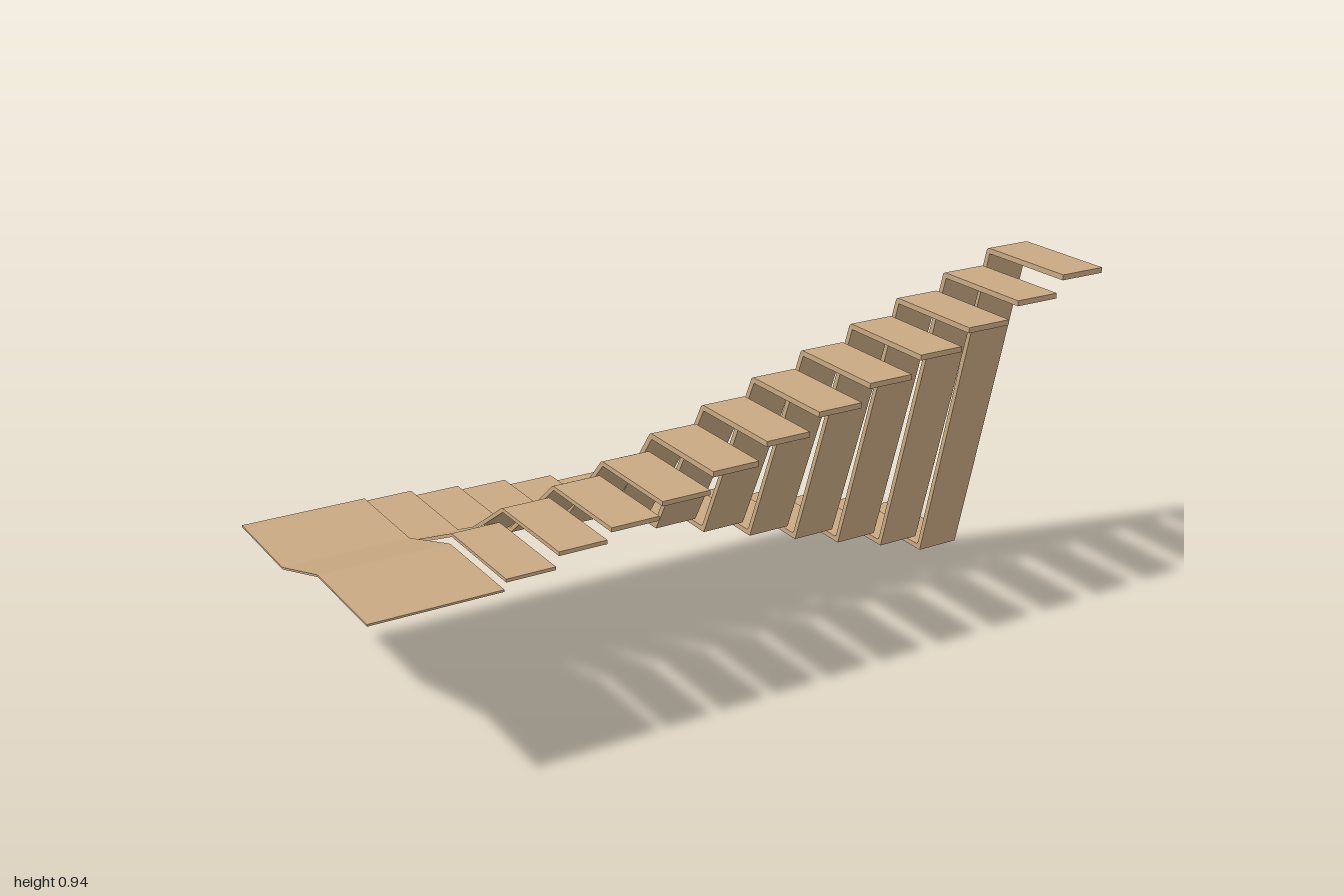
import * as THREE from 'three';

// Each slat: left edge x0, right edge x1, top of front shelf, bottom of back shelf, thickness
const SLATS = [
  [-1.0, -0.68, 0.474, 0.39, 0.005],
  [-0.675, -0.553, 0.498, 0.38, 0.008],
  [-0.545, -0.423, 0.532, 0.363, 0.01],
  [-0.412, -0.288, 0.559, 0.35, 0.011],
  [-0.28, -0.153, 0.593, 0.333, 0.012],
  [-0.146, -0.021, 0.637, 0.312, 0.014],
  [0.0, 0.12, 0.681, 0.267, 0.014],
  [0.145, 0.268, 0.725, 0.223, 0.014],
  [0.29, 0.413, 0.769, 0.179, 0.014],
  [0.438, 0.562, 0.813, 0.135, 0.014],
  [0.582, 0.706, 0.857, 0.091, 0.014],
  [0.731, 0.855, 0.901, 0.047, 0.014],
  [0.872, 1.0, 0.945, 0.0, 0.014],
];
const END = 0.4;

// Z-shaped strip section drawn in (z, y) and extruded across the width
function slatGeometry([x0, x1, top, bottom, t], bend) {
  const low = bottom + t;
  const slope = Math.atan2(top - low, 2 * bend);
  const miter = t * Math.tan(slope / 2);
  const r = 0.008;
  const dz = r * Math.cos(slope), dy = r * Math.sin(slope);
  const s = new THREE.Shape();
  s.moveTo(END, top - t);
  s.lineTo(END, top);
  s.lineTo(bend + r, top);
  s.quadraticCurveTo(bend, top, bend - dz, top - dy);
  s.lineTo(-bend + dz, low + dy);
  s.quadraticCurveTo(-bend, low, -bend - r, low);
  s.lineTo(-END, low);
  s.lineTo(-END, bottom);
  s.lineTo(-bend + miter, bottom);
  s.lineTo(bend + miter, top - t);
  s.closePath();
  const g = new THREE.ExtrudeGeometry(s, { depth: x1 - x0, bevelEnabled: false, curveSegments: 3 });
  g.rotateY(-Math.PI / 2);
  g.translate(x1, 0, 0);
  return g;
}

export function createModel() {
  const group = new THREE.Group();
  group.name = 'slattedBench';
  const wood = new THREE.MeshStandardMaterial({ color: 0xc8a882 });
  wood.name = 'tan wood';

  // One wide slat at the shallow end, then slats that grow steeper
  SLATS.forEach((slat, i) => {
    const mesh = new THREE.Mesh(slatGeometry(slat, 0.12 - 0.01 * i / 12), wood);
    mesh.name = i === 0 ? 'wideSlat' : `slat${i}`;
    group.add(mesh);
  });
  return group;
}
